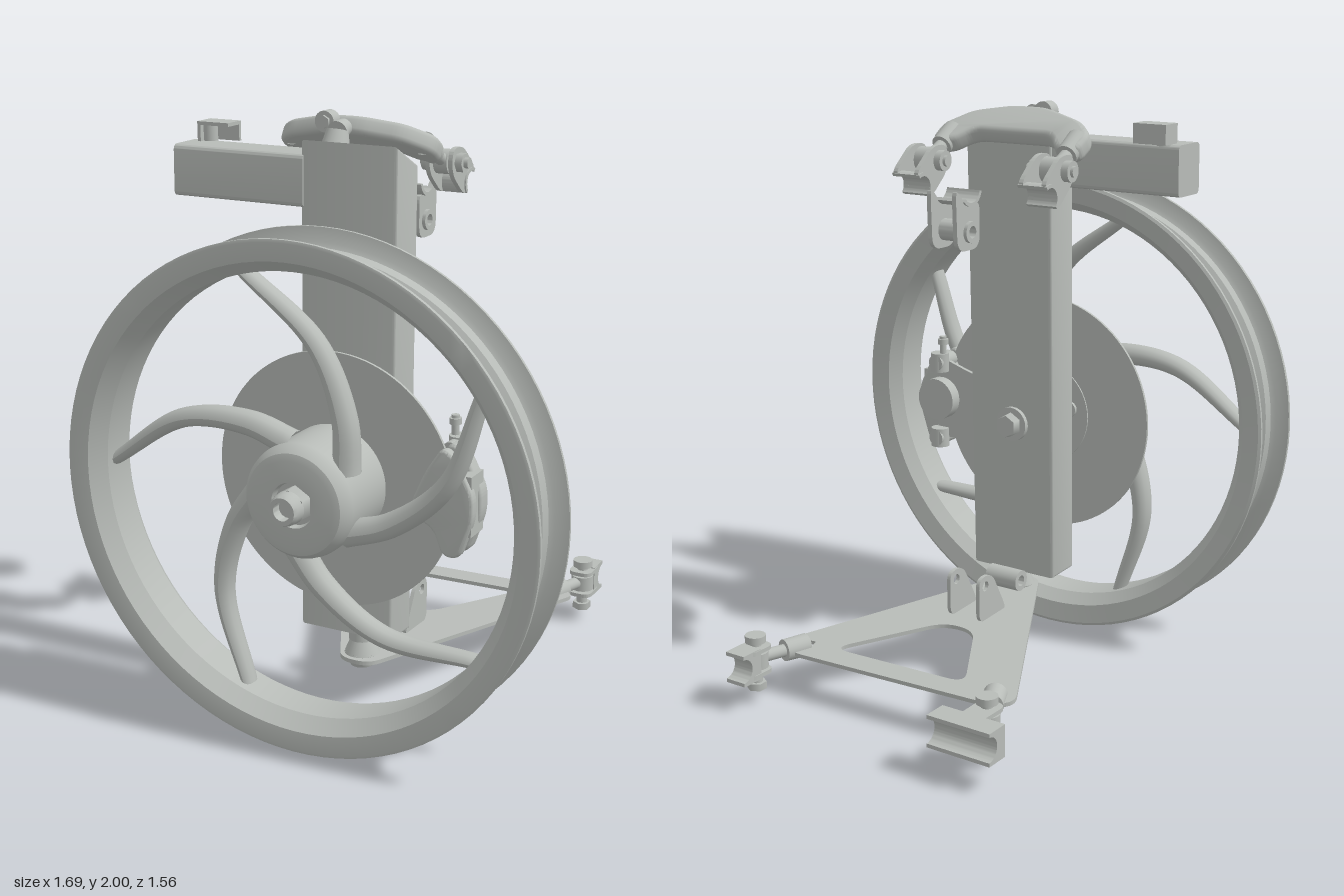
import * as THREE from 'three';
import { toCreasedNormals } from 'three/addons/utils/BufferGeometryUtils.js';

const V = (x, y, z) => new THREE.Vector3(x, y, z);
const metal = new THREE.MeshStandardMaterial({ color: 0xb8bcb8 });
metal.name = 'light grey metal';

function add(parent, name, geo, pos = [0, 0, 0]) {
  const m = new THREE.Mesh(geo, metal);
  m.name = name;
  m.position.set(...pos);
  parent.add(m);
  return m;
}

function group(parent, name) {
  const g = new THREE.Group();
  g.name = name;
  parent.add(g);
  return g;
}

// Round bar from point a to point b
function rod(parent, name, a, b, r1, r2 = r1, sides = 24) {
  const p = V(...a), q = V(...b), d = q.clone().sub(p);
  const m = add(parent, name, new THREE.CylinderGeometry(r2, r1, d.length(), sides), p.clone().add(q).multiplyScalar(0.5).toArray());
  m.quaternion.setFromUnitVectors(V(0, 1, 0), d.normalize());
  return m;
}

// Extruded outline, centred in depth; plane 'xy', 'zy' or 'xz'
function plate(pts, depth, plane = 'xy', bevel = 0, holes = []) {
  const s = Array.isArray(pts) ? new THREE.Shape(pts.map(p => new THREE.Vector2(...p))) : pts;
  for (const [x, y, r] of holes) s.holes.push(new THREE.Path().absarc(x, y, r, 0, Math.PI * 2, true));
  const d = depth - 2 * bevel;
  const g = new THREE.ExtrudeGeometry(s, {
    depth: d, bevelEnabled: bevel > 0, bevelSize: bevel, bevelThickness: bevel,
    bevelOffset: -bevel, bevelSegments: 3, curveSegments: 16,
  });
  g.translate(0, 0, -d / 2);
  if (plane === 'zy') g.rotateY(-Math.PI / 2);
  if (plane === 'xz') g.rotateX(Math.PI / 2);
  return toCreasedNormals(g, 0.6);
}

// Polygon with rounded corners
function rounded(pts, r, Type = THREE.Shape) {
  const s = new Type(), n = pts.length, P = pts.map(p => new THREE.Vector2(...p));
  P.forEach((p, i) => {
    const toward = q => p.clone().add(q.clone().sub(p).setLength(Math.min(r, q.distanceTo(p) * 0.49)));
    const a = toward(P[(i + n - 1) % n]), b = toward(P[(i + 1) % n]);
    if (i) s.lineTo(a.x, a.y); else s.moveTo(a.x, a.y);
    s.quadraticCurveTo(p.x, p.y, b.x, b.y);
  });
  s.closePath();
  return s;
}

// Profile of [radius, z] turned around the z axis
function turned(pts, segs) {
  const g = new THREE.LatheGeometry(pts.map(p => new THREE.Vector2(...p)), segs);
  return toCreasedNormals(g.rotateX(Math.PI / 2), 0.5);
}

// Half-round shell that clips to a frame tube; opens toward -x of its outline
function saddle(cx, cy, r, t, from, to) {
  const s = new THREE.Shape();
  s.absarc(cx, cy, r + t, from, to, false);
  s.absarc(cx, cy, r, to, from, true);
  return s;
}

function buildWheel(root) {
  const wheel = group(root, 'wheel');
  wheel.position.y = 0.85;
  add(wheel, 'rim', turned([
    [0.735, 0.56], [0.77, 0.515], [0.835, 0.5], [0.845, 0.505], [0.845, 0.515], [0.8, 0.525],
    [0.785, 0.535], [0.78, 0.57], [0.752, 0.59], [0.752, 0.66], [0.78, 0.68], [0.785, 0.71],
    [0.8, 0.72], [0.845, 0.73], [0.845, 0.742], [0.835, 0.745], [0.775, 0.735], [0.735, 0.68], [0.735, 0.56],
  ], 96));
  add(wheel, 'hub', turned([
    [0, 0.44], [0.19, 0.44], [0.19, 0.67], [0.184, 0.695], [0.168, 0.715], [0.145, 0.722],
    [0.075, 0.722], [0.07, 0.7], [0, 0.7],
  ], 64));
  rod(wheel, 'axleNut', [0, 0, 0.69], [0, 0, 0.745], 0.062, 0.058, 6);
  add(wheel, 'axleTip', turned([[0.055, 0.74], [0.052, 0.77], [0.045, 0.785], [0.03, 0.785], [0.03, 0.75], [0, 0.75]], 32));
  // Curved, tapering spokes
  const curve = new THREE.CatmullRomCurve3([V(0.14, 0.1, 0.62), V(0.135, 0.27, 0.62), V(0.04, 0.5, 0.62), V(-0.22, 0.71, 0.62)]);
  const N = 28, R = 12, geo = new THREE.TubeGeometry(curve, N, 1, R), pos = geo.attributes.position, v = V(0, 0, 0);
  for (let i = 0; i <= N; i++) {
    const p = curve.getPointAt(i / N), w = 0.046 - 0.024 * i / N, d = 0.05 - 0.015 * i / N;
    for (let j = 0; j <= R; j++) {
      const k = i * (R + 1) + j;
      v.fromBufferAttribute(pos, k).sub(p).multiply(V(w, w, d)).add(p);
      pos.setXYZ(k, v.x, v.y, v.z);
    }
  }
  geo.computeVertexNormals();
  for (let i = 0; i < 5; i++) add(wheel, 'spoke', geo).rotation.z = i * Math.PI * 0.4;
  // Brake disc and its bolts
  rod(wheel, 'brakeDisc', [0, 0, 0.445], [0, 0, 0.455], 0.432, 0.432, 96);
  for (let i = 0; i < 5; i++) {
    const a = i * Math.PI * 0.4 + 0.4, x = 0.12 * Math.cos(a), y = 0.12 * Math.sin(a);
    rod(wheel, 'discBolt', [x, y, 0.428], [x, y, 0.46], 0.028);
  }
  rod(wheel, 'axle', [0, 0, 0.3], [0, 0, 0.45], 0.055);
  rod(wheel, 'axleWasher', [0, 0, 0.225], [0, 0, 0.3], 0.062);
  rod(wheel, 'axleBolt', [0, 0, 0.19], [0, 0, 0.23], 0.04, 0.045, 6);
}

function buildCaliper(root) {
  const c = group(root, 'brakeCaliper');
  const outline = [[0.3, 0.84], [0.35, 0.95], [0.41, 1.04], [0.46, 1.0], [0.515, 0.89], [0.515, 0.81], [0.47, 0.675], [0.41, 0.675], [0.38, 0.76], [0.32, 0.79]];
  add(c, 'outerHalf', plate(rounded(outline, 0.03), 0.04, 'xy', 0.01), [0, 0, 0.48]);
  add(c, 'innerHalf', plate(rounded(outline, 0.03), 0.06, 'xy', 0.012), [0, 0, 0.405]);
  add(c, 'bridge', new THREE.BoxGeometry(0.06, 0.2, 0.09), [0.475, 0.85, 0.44]);
  for (let i = 0; i < 5; i++) add(c, 'padFin', new THREE.BoxGeometry(0.1, 0.012, 0.07), [0.44, 0.79 + i * 0.035, 0.44]);
  rod(c, 'piston', [0.4, 0.86, 0.32], [0.4, 0.86, 0.4], 0.078, 0.078, 32);
  add(c, 'mountPlate', plate(rounded([[0.15, 0.76], [0.3, 0.72], [0.42, 0.7], [0.42, 1.02], [0.3, 0.98], [0.15, 0.94]], 0.04), 0.015), [0, 0, 0.372]);
  for (const y of [0.71, 1.0]) {
    rod(c, 'slidePin', [0.4, y, 0.32], [0.4, y, 0.42], 0.03);
    rod(c, 'pinHead', [0.4, y - 0.035, 0.35], [0.4, y + 0.035, 0.35], 0.034);
  }
  rod(c, 'bleedScrew', [0.385, 1.03, 0.35], [0.385, 1.1, 0.35], 0.013);
  rod(c, 'bleedCap', [0.385, 1.07, 0.35], [0.385, 1.09, 0.35], 0.02);
}

function buildUpright(root) {
  const u = group(root, 'upright');
  add(u, 'uprightBody', plate([[0.4, 0.29], [0.352, 1.93], [0.208, 1.855], [0.262, 0.285]], 0.345, 'zy', 0.012), [0.008, 0, 0]);
  // Side arm with a small bracket
  add(u, 'steeringArm', plate(rounded([[0.365, 1.715], [0.36, 1.885], [0.217, 1.885], [0.222, 1.715]], 0.02), 0.49, 'zy'), [-0.4, 0, 0]);
  add(u, 'armTab', new THREE.BoxGeometry(0.12, 0.012, 0.08), [-0.55, 1.945, 0.23]);
  add(u, 'armTabSide', new THREE.BoxGeometry(0.012, 0.06, 0.08), [-0.604, 1.915, 0.23]);
  add(u, 'armTabBack', new THREE.BoxGeometry(0.12, 0.06, 0.012), [-0.55, 1.915, 0.197]);
  rod(u, 'armTabStud', [-0.585, 1.88, 0.23], [-0.585, 1.94, 0.23], 0.025);
  // Upper and lower ball joints
  rod(u, 'upperJoint', [-0.08, 1.87, 0.29], [-0.08, 1.955, 0.265], 0.055, 0.035);
  rod(u, 'upperJointPin', [-0.08, 1.95, 0.265], [-0.08, 1.96, 0.22], 0.035, 0.028);
  rod(u, 'lowerJointSeat', [0.04, 0.255, 0.345], [0.04, 0.295, 0.345], 0.045, 0.045);
  rod(u, 'lowerJoint', [0.04, 0.205, 0.345], [0.04, 0.265, 0.345], 0.06, 0.035);
  rod(u, 'lowerJointBase', [0.04, 0.16, 0.345], [0.04, 0.21, 0.345], 0.04, 0.058);
}

function buildUpperArm(root) {
  const a = group(root, 'upperArm');
  const body = add(a, 'upperArmBody', plate(rounded([
    [-0.405, -0.01], [-0.41, 0.08], [-0.35, 0.14], [-0.18, 0.205], [-0.05, 0.205], [0.09, 0.165],
    [0.17, 0.08], [0.165, -0.01], [0.09, -0.01], [0.03, 0.06], [-0.27, 0.06], [-0.325, -0.01],
  ], 0.035), 0.065, 'xz', 0.018), [0, 1.86, 0]);
  body.rotation.x = -0.54;
  rod(a, 'pivotBall', [-0.16, 1.97, 0.165], [-0.16, 1.97, 0.21], 0.035);
  rod(a, 'pivotBolt', [-0.16, 1.97, 0.2], [-0.16, 1.97, 0.22], 0.022, 0.022, 6);
  for (const x of [-0.365, 0.125]) {
    rod(a, 'armEnd', [x, 1.9, 0.06], [x, 1.858, -0.015], 0.04, 0.036);
    rod(a, 'rodEndNeck', [x, 1.86, -0.01], [x, 1.83, -0.07], 0.022);
    rod(a, 'rodEndEye', [x - 0.025, 1.82, -0.097], [x + 0.025, 1.82, -0.097], 0.042);
    rod(a, 'bolt', [x - 0.085, 1.82, -0.097], [x + 0.09, 1.82, -0.097], 0.018);
    for (const s of [-1, 1]) {
      add(a, 'clevisPlate', plate(rounded([
        [-0.045, 1.82], [-0.06, 1.87], [-0.13, 1.87], [-0.218, 1.795], [-0.215, 1.77], [-0.18, 1.782],
        [-0.152, 1.755], [-0.16, 1.71], [-0.135, 1.71], [-0.06, 1.775],
      ], 0.03), 0.016, 'zy'), [x + s * 0.042, 0, 0]);
      rod(a, 'boltHead', [x + s * 0.05, 1.82, -0.097], [x + s * 0.075, 1.82, -0.097], 0.034, 0.034, s > 0 ? 6 : 24);
    }
    add(a, 'tubeSaddle', plate(saddle(-0.193, 1.74, 0.038, 0.012, -0.7, 2.1), 0.11, 'zy'), [x, 0, 0]);
  }
  // Damper bracket below the arm
  const d = group(root, 'damperBracket');
  for (const x of [-0.08, 0.02]) {
    add(d, 'bracketPlate', plate(rounded([
      [-0.1, 1.7], [-0.145, 1.69], [-0.185, 1.7], [-0.225, 1.745], [-0.235, 1.735], [-0.225, 1.545], [-0.1, 1.545],
    ], 0.045), 0.016, 'zy', 0, [[-0.157, 1.605, 0.022]]), [x, 0, 0]);
  }
  add(d, 'bracketSaddle', plate(saddle(-0.155, 1.745, 0.045, 0.012, -2.4, -0.2), 0.13, 'zy'), [-0.03, 0, 0]);
  add(d, 'bushing', plate(new THREE.Shape().absarc(-0.157, 1.605, 0.036, 0, Math.PI * 2, false), 0.14, 'zy', 0, [[-0.157, 1.605, 0.02]]), [-0.03, 0, 0]);
}

function buildLowerArm(root) {
  const arm = group(root, 'lowerArm');
  const s = rounded([[-0.475, -0.46], [-0.42, -0.515], [0.38, -0.56], [0.475, -0.52], [0.105, 0.42], [-0.005, 0.42]], 0.05);
  s.holes.push(rounded([[-0.26, -0.435], [0.28, -0.46], [0.07, -0.09], [-0.06, -0.09]], 0.07, THREE.Path));
  // Slots for the rod ends
  s.holes.push(rounded([[-0.43, -0.47], [-0.37, -0.505], [-0.34, -0.45], [-0.4, -0.42]], 0.01, THREE.Path));
  s.holes.push(rounded([[0.35, -0.49], [0.42, -0.51], [0.41, -0.46], [0.36, -0.45]], 0.01, THREE.Path));
  add(arm, 'lowerArmPlate', plate(s, 0.014, 'xz'), [0, 0.178, 0]).rotation.x = -0.045;
  // Damper lugs and cross bush
  for (const x of [-0.035, 0.09]) {
    add(arm, 'damperLug', plate(rounded([[0.13, 0.185], [0.125, 0.21], [0.045, 0.35], [-0.035, 0.35], [-0.032, 0.18]], 0.04), 0.014, 'zy', 0, [[0.005, 0.312, 0.018]]), [x, 0, 0]);
  }
  add(arm, 'bush', plate(new THREE.Shape().absarc(0.17, 0.29, 0.038, 0, Math.PI * 2, false), 0.13, 'zy', 0, [[0.17, 0.29, 0.02]]), [-0.02, 0, 0]);
  // Rod ends with chassis brackets: start, bolt position, saddle centre and width
  for (const [x0, z0, x, z, sx, sw] of [[-0.385, -0.44, -0.47, -0.615, -0.47, 0.235], [0.38, -0.48, 0.447, -0.665, 0.447, 0.08]]) {
    const mid = t => [x0 + (x - x0) * t, 0.16, z0 + (z - z0) * t];
    rod(arm, 'rodSocket', mid(0), mid(0.45), 0.04, 0.038);
    rod(arm, 'rodNeck', mid(0.4), mid(0.85), 0.022);
    rod(arm, 'rodEye', [x, 0.13, z], [x, 0.185, z], 0.042);
    rod(arm, 'bracketBolt', [x, 0.05, z], [x, 0.24, z], 0.02);
    rod(arm, 'boltHead', [x, 0.22, z], [x, 0.245, z], 0.036);
    rod(arm, 'boltNut', [x, 0.05, z], [x, 0.075, z], 0.034, 0.034, 6);
    const back = sw > 0.1 ? -0.775 : -0.77;
    for (const y of [0.115, 0.2]) {
      const t = group(arm, 'bracketTab');
      add(t, 'tabPlate', plate(rounded([[x - 0.042, back + 0.03], [x + 0.042, back + 0.03], [x + 0.045, z + 0.045], [x - 0.045, z + 0.045]], 0.035), 0.014, 'xz'), [0, y, 0]);
    }
    add(arm, 'chassisSaddle', plate(new THREE.Shape()
      .moveTo(back + 0.085, 0.1).lineTo(back + 0.085, 0.21).lineTo(back, 0.21).lineTo(back, 0.197)
      .absarc(back, 0.155, 0.042, Math.PI / 2, -Math.PI / 2, true).lineTo(back, 0.1), sw, 'zy'), [sx, 0, 0]);
  }
}

export function createModel() {
  const root = new THREE.Group();
  root.name = 'frontWheelSuspension';
  for (const build of [buildWheel, buildCaliper, buildUpright, buildUpperArm, buildLowerArm]) build(root);
  return root;
}
